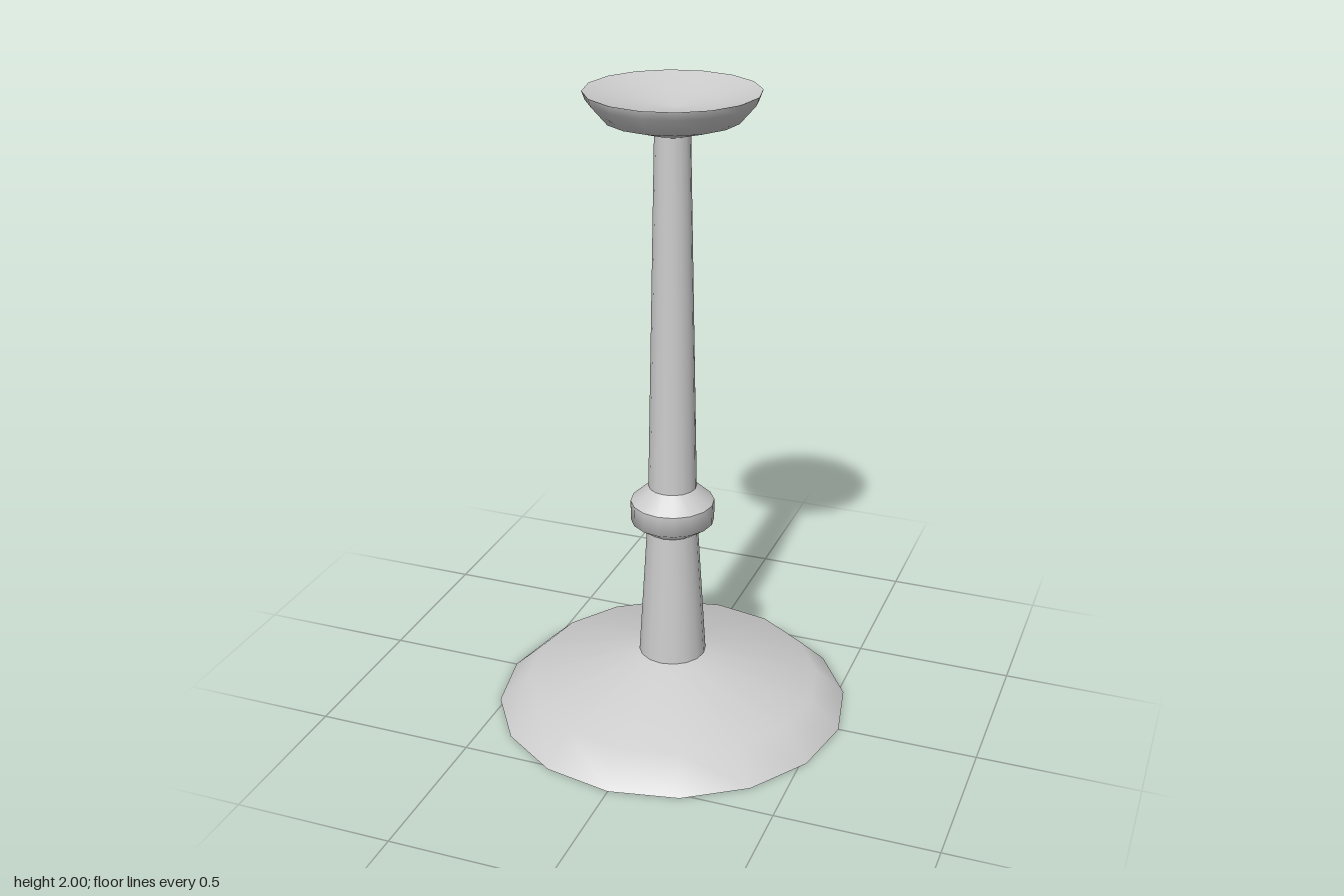
import * as THREE from 'three';

const SIDES = 16;

export function createModel() {
  const group = new THREE.Group();
  group.name = 'candlestick';
  const metal = new THREE.MeshStandardMaterial({ color: 0xcccccc });
  metal.name = 'grey metal';

  // Each profile runs upward as [radius, height]; separate profiles keep creases sharp
  const turn = (name, ...profile) => {
    const points = profile.map(([r, y]) => new THREE.Vector2(r, y));
    const mesh = new THREE.Mesh(new THREE.LatheGeometry(points, SIDES), metal);
    mesh.name = name;
    group.add(mesh);
  };

  // Foot
  turn('footUnderside', [0, 0], [0.56, 0]);
  turn('foot', [0.56, 0], [0.465, 0.09], [0.106, 0.185]);

  // Stem with its collar
  turn('lowerStem', [0.106, 0.185], [0.08, 0.615]);
  turn('collar', [0.08, 0.615], [0.13, 0.65], [0.13, 0.715]);
  turn('collarTop', [0.13, 0.715], [0.075, 0.765]);
  turn('upperStem', [0.075, 0.765], [0.053, 1.875]);

  // Shallow dish, open upward
  turn('dishOutside', [0.053, 1.875], [0.2, 1.92], [0.248, 1.975], [0.257, 2]);
  turn('dishInside', [0.257, 2], [0.13, 1.965], [0.02, 1.95], [0, 1.95]);

  return group;
}
